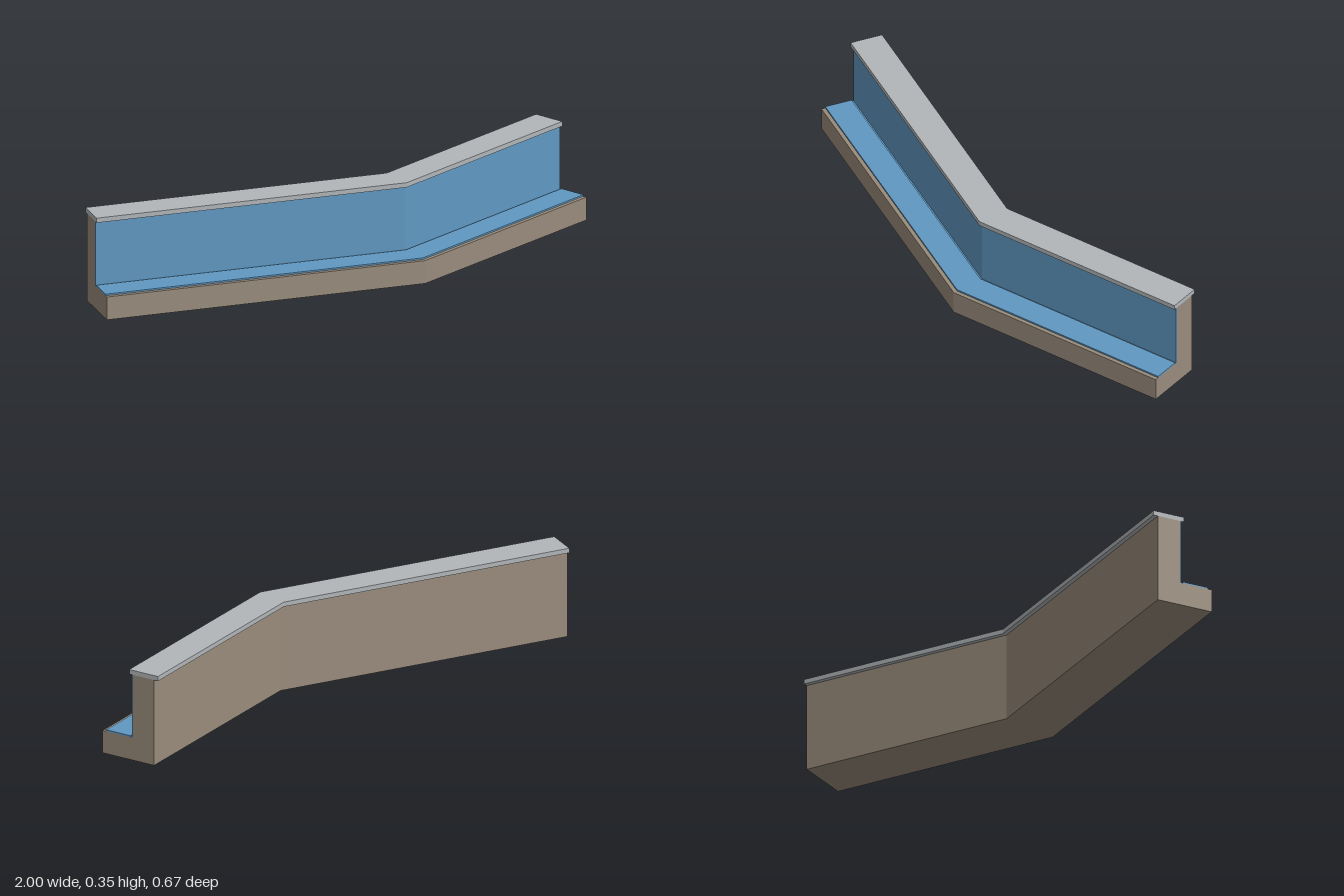
import * as THREE from 'three';

// Front edge of the plan: start, bend and end points as [x, z]
const START = [-1, 0.335], BEND = [0.2215, 0.335], END = [1, -0.13];
const ANGLE = Math.atan2(BEND[1] - END[1], END[0] - BEND[0]);

// Plan position of a point set back by d from the front edge at each station
const stations = [
  d => [START[0], START[1] - d],
  d => [BEND[0] - d * Math.tan(ANGLE / 2), BEND[1] - d],
  d => [END[0] - d * Math.sin(ANGLE), END[1] - d * Math.cos(ANGLE)],
];

// Rectangular section (front..back setback, bottom..top height) swept along the mitred plan
function run(name, material, front, back, bottom, top) {
  const geometry = new THREE.BoxGeometry(1, 1, 1, 2, 1, 1).toNonIndexed();
  const p = geometry.attributes.position;
  for (let i = 0; i < p.count; i++) {
    const station = stations[Math.round((p.getX(i) + 0.5) * 2)];
    const [x, z] = station(p.getZ(i) > 0 ? front : back);
    p.setXYZ(i, x, p.getY(i) > 0 ? top : bottom, z);
  }
  geometry.computeVertexNormals();
  const mesh = new THREE.Mesh(geometry, material);
  mesh.name = name;
  return mesh;
}

function mat(name, color) {
  const material = new THREE.MeshStandardMaterial({ color });
  material.name = name;
  return material;
}

export function createModel() {
  const stone = mat('warm stone', 0x998c7c);
  const blue = mat('blue lining', 0x6098c2);
  const grey = mat('grey coping', 0xb2b6b9);

  const group = new THREE.Group();
  group.name = 'bentWall';
  group.add(
    // L-shaped body: low ledge in front, tall wall behind
    run('ledge', stone, 0, 0.131, 0, 0.088),
    run('wall', stone, 0.131, 0.222, 0, 0.335),
    // Blue lining with a narrow groove where ledge and wall meet
    run('ledgeLining', blue, 0.015, 0.119, 0.088, 0.094),
    run('grooveLining', blue, 0.119, 0.126, 0.088, 0.0895),
    run('wallLining', blue, 0.126, 0.131, 0.088, 0.335),
    // Overhanging coping on top
    run('coping', grey, 0.115, 0.239, 0.335, 0.353),
  );
  return group;
}
